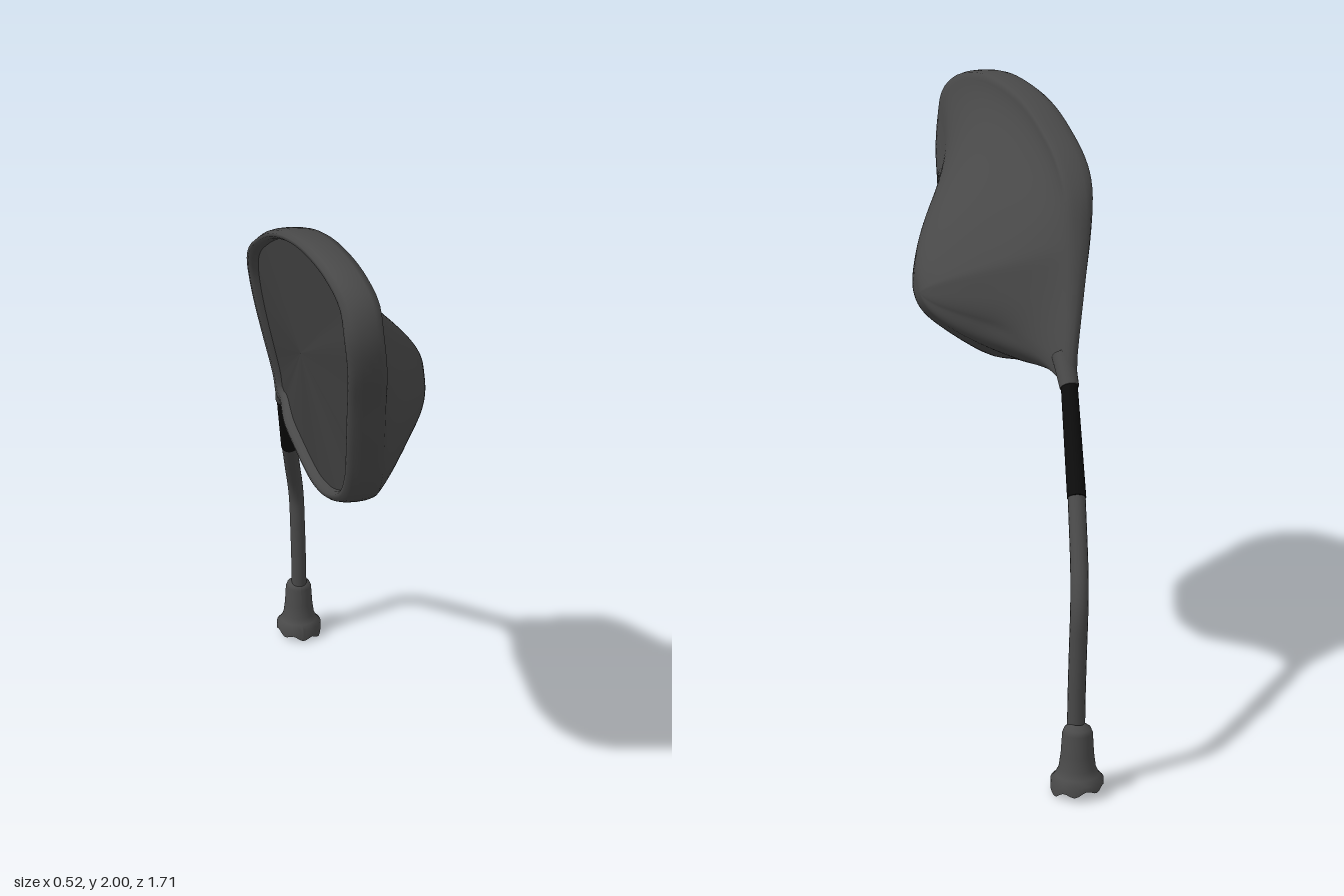
import * as THREE from 'three';

const housingMat = new THREE.MeshStandardMaterial({ color: 0x484848 });
housingMat.name = 'dark grey plastic';
const glassMat = new THREE.MeshStandardMaterial({ color: 0x404040 });
glassMat.name = 'mirror grey';
const sleeveMat = new THREE.MeshStandardMaterial({ color: 0x0c0c0c });
sleeveMat.name = 'black rubber';
const footMat = new THREE.MeshStandardMaterial({ color: 0x4a4a4a, side: THREE.DoubleSide });
footMat.name = 'grey boot';

const V = (x, y, z) => new THREE.Vector3(x, y, z);
const { lerp, smoothstep } = THREE.MathUtils;

// Rim centre line, from the far tip over the top to the neck and back below
const RIM = [
  [-0.1, 1.82, 0.86], [-0.108, 1.91, 0.835], [-0.13, 1.97, 0.76], [-0.158, 2.0, 0.6],
  [-0.18, 1.985, 0.42], [-0.197, 1.94, 0.25], [-0.205, 1.87, 0.1], [-0.203, 1.79, -0.04],
  [-0.195, 1.7, -0.13], [-0.175, 1.57, -0.19], [-0.14, 1.4, -0.25], [-0.1, 1.22, -0.315],
  [-0.09, 1.15, -0.33], [-0.085, 1.165, -0.23], [-0.085, 1.145, 0], [-0.075, 1.11, 0.2],
  [-0.07, 1.105, 0.3], [-0.06, 1.13, 0.45], [-0.045, 1.19, 0.57], [-0.045, 1.28, 0.64],
  [-0.058, 1.42, 0.71], [-0.072, 1.58, 0.78], [-0.085, 1.71, 0.84],
].map((p) => V(...p));
const CENTRE = V(-0.15, 1.56, 0.3);
const APEX = V(0.262, 1.375, 0.09);
const outline = new THREE.CatmullRomCurve3(RIM, true).getSpacedPoints(112).slice(0, -1);

// Skins a list of closed rings
function loft(name, rings, material) {
  const n = rings[0].length;
  const index = [];
  for (let i = 0; i < rings.length - 1; i++) {
    for (let j = 0; j < n; j++) {
      const k = (j + 1) % n;
      const a = i * n + j, b = i * n + k, c = a + n, d = b + n;
      index.push(a, c, b, b, c, d);
    }
  }
  const geo = new THREE.BufferGeometry().setFromPoints(rings.flat());
  geo.setIndex(index);
  geo.computeVertexNormals();
  return named(name, geo, material);
}

function named(name, geo, material) {
  const mesh = new THREE.Mesh(geo, material);
  mesh.name = name;
  return mesh;
}

// 0 at the neck, 1 on the broad part of the head
const broad = (p) => smoothstep(p.z, -0.36, -0.05);

// Rim ring pulled inwards and shifted across the rim thickness
const rimRing = (inset, dx) => outline.map((p) => {
  const w = broad(p);
  const q = p.clone().lerp(CENTRE, inset * lerp(2.2, 1, w));
  q.x += dx * lerp(0.5, 1, w);
  return q;
});

// Ring averaged over neighbouring points, which rounds its corners
const softened = (ring, reach) => ring.map((_, j) => {
  const sum = V(0, 0, 0);
  for (let k = -reach; k <= reach; k++) sum.add(ring[(j + k + ring.length) % ring.length]);
  return sum.divideScalar(2 * reach + 1);
});

function makeHead() {
  const head = new THREE.Group();
  head.name = 'mirrorHead';

  // Rounded lip
  const rings = [
    rimRing(0.088, -0.022), rimRing(0.08, -0.042), rimRing(0.062, -0.054), rimRing(0.035, -0.054),
    rimRing(0.013, -0.041), rimRing(0.002, -0.02), rimRing(0, 0.005), rimRing(0.004, 0.03),
    rimRing(0.015, 0.05),
  ];
  // Bulged shell: flared at the top and neck, rounder at the bottom
  const edge = rings[rings.length - 1];
  const soft = softened(edge, 8);
  const steps = 28;
  for (let i = 1; i <= steps; i++) {
    const s = i / steps;
    const round = Math.sin(s * Math.PI / 2);
    const flare = s * s * (3 - 2 * s);
    const blend = smoothstep(s, 0, 0.5);
    rings.push(edge.map((e, j) => {
      const p = outline[j];
      const amount = Math.max(smoothstep(p.y, 1.25, 1.85), 1 - broad(p));
      const h = lerp(Math.pow(round, 0.95), flare, amount);
      const q = e.clone().lerp(soft[j], blend);
      return V(lerp(q.x, APEX.x, h), lerp(q.y, APEX.y, s), lerp(q.z, APEX.z, s));
    }));
  }
  head.add(loft('housing', rings, housingMat));

  // Recessed glass
  const glassEdge = rimRing(0.086, -0.024);
  const middle = V(-0.165, CENTRE.y, CENTRE.z);
  const glassRings = [0, 0.5, 1].map((t) => glassEdge.map((e) => middle.clone().lerp(e, t)));
  head.add(loft('glass', glassRings, glassMat));
  return head;
}

// Straight round piece between two points
function rod(name, from, to, r0, r1, material) {
  const dir = to.clone().sub(from);
  const mesh = named(name, new THREE.CylinderGeometry(r1, r0, dir.length(), 20), material);
  mesh.position.copy(from).addScaledVector(dir, 0.5);
  mesh.quaternion.setFromUnitVectors(V(0, 1, 0), dir.normalize());
  return mesh;
}

// Boot with a flared foot and a slanted, slightly ragged lower edge
function makeFoot() {
  const profile = [
    [0.08, 0.02], [0.08, 0.05], [0.066, 0.064], [0.056, 0.085],
    [0.05, 0.13], [0.046, 0.195], [0.04, 0.21], [0.02, 0.225],
  ].map(([r, y]) => new THREE.Vector2(r, y));
  const geo = new THREE.LatheGeometry(profile, 40);
  const pos = geo.attributes.position;
  for (let i = 0; i < pos.count; i++) {
    const x = pos.getX(i), y = pos.getY(i), z = pos.getZ(i);
    if (y < 0.03) {
      const ragged = 0.007 * Math.sin(Math.atan2(z, x) * 7);
      pos.setY(i, y - 0.1 * x - 0.1 * z + ragged);
    }
  }
  geo.computeVertexNormals();
  const foot = named('foot', geo, footMat);
  foot.position.set(0.055, 0, -0.772);
  return foot;
}

export function createModel() {
  const model = new THREE.Group();
  model.name = 'sideMirror';

  // Bent stalk from foot to sleeve
  const low = V(-0.018, 0.86, -0.565);
  const high = V(-0.085, 1.15, -0.325);
  const path = new THREE.CatmullRomCurve3([
    V(0.055, 0.04, -0.765), V(0.054, 0.25, -0.758), V(0.05, 0.45, -0.757), V(0.046, 0.56, -0.754),
    V(0.036, 0.63, -0.73), V(0.02, 0.7, -0.685), low,
  ]);
  model.add(named('stalk', new THREE.TubeGeometry(path, 48, 0.027, 16), housingMat));
  model.add(rod('sleeve', low, high, 0.029, 0.026, sleeveMat));

  // Collar joining sleeve and head
  model.add(rod('neck', V(-0.083, 1.14, -0.333), V(-0.09, 1.225, -0.26), 0.03, 0.036, housingMat));
  model.add(makeHead(), makeFoot());
  return model;
}
